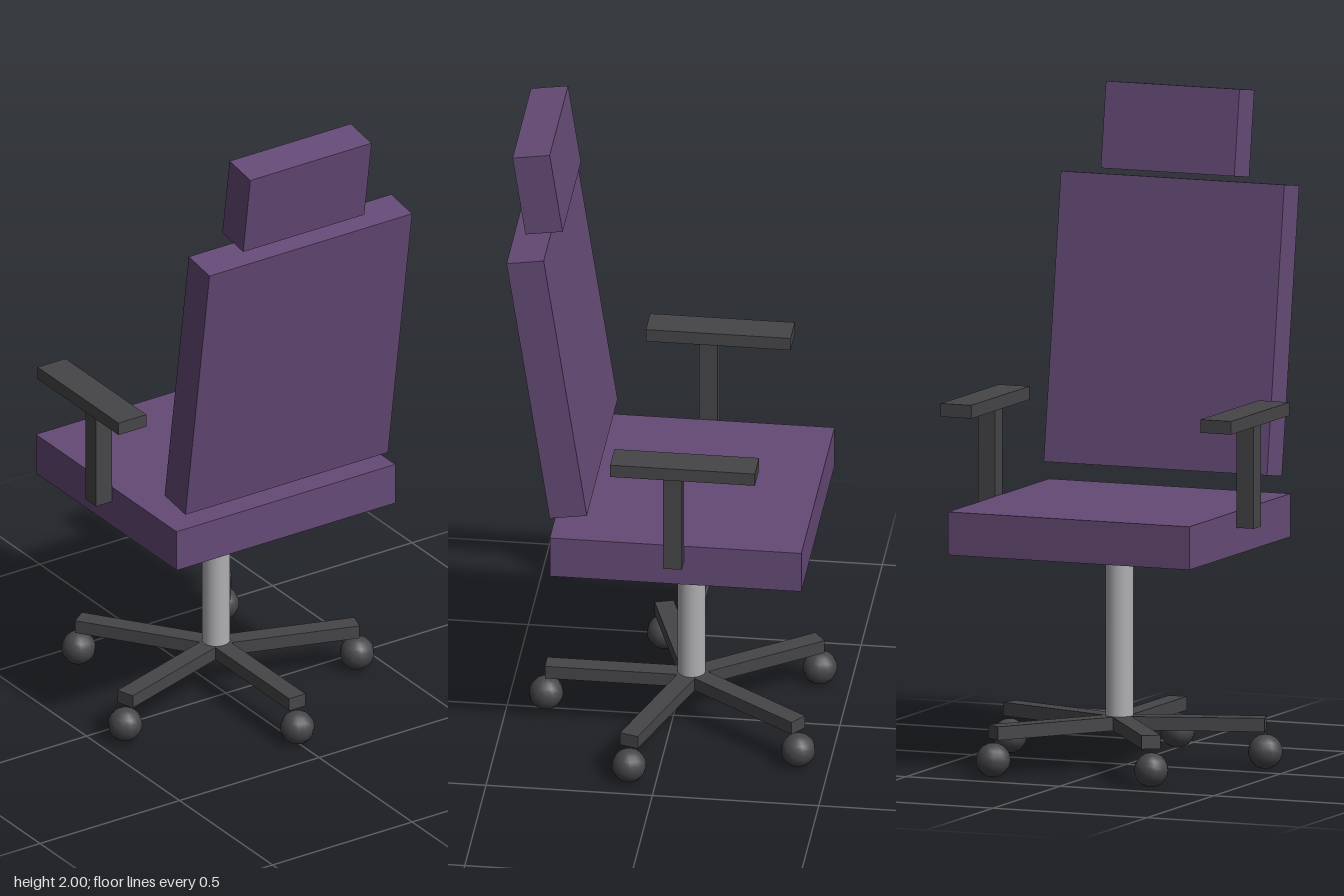
import * as THREE from 'three';

export function createModel() {
  const chair = new THREE.Group();
  chair.name = 'officeChair';

  const mat = (name, color) => {
    const m = new THREE.MeshStandardMaterial({ color });
    m.name = name;
    return m;
  };
  const purple = mat('purple upholstery', 0x654a76);
  const dark = mat('dark plastic', 0x464649);
  const metal = mat('grey metal', 0xb0b0b3);

  const add = (parent, name, geometry, material, x, y, z) => {
    const mesh = new THREE.Mesh(geometry, material);
    mesh.name = name;
    mesh.position.set(x, y, z);
    parent.add(mesh);
    return mesh;
  };
  const box = (w, h, d) => new THREE.BoxGeometry(w, h, d);

  const columnZ = -0.054; // the seat, column and star base share this axis
  const recline = 0.15;

  // Cushions: the chair's back is on the +z side
  add(chair, 'seat', box(0.784, 0.13, 0.756), purple, 0, 0.73, -0.056);
  add(chair, 'backrest', box(0.726, 0.868, 0.113), purple, 0, 1.283, 0.335).rotation.x = recline;
  add(chair, 'headrest', box(0.434, 0.26, 0.113), purple, 0, 1.863, 0.381).rotation.x = recline;

  // Armrests
  for (const [side, label] of [[1, 'left'], [-1, 'right']]) {
    add(chair, label + 'ArmPad', box(0.1, 0.04, 0.435), dark, side * 0.422, 1.08, -0.087);
    add(chair, label + 'ArmPost', box(0.056, 0.315, 0.056), dark, side * 0.42, 0.903, columnZ);
  }

  // Column
  add(chair, 'column', new THREE.CylinderGeometry(0.042, 0.042, 0.53, 24), metal, 0, 0.4, columnZ);

  // Five-legged star base with ball casters
  const legLength = 0.437;
  for (let i = 0; i < 5; i++) {
    const arm = new THREE.Group();
    arm.name = 'baseArm' + (i + 1);
    arm.position.z = columnZ;
    arm.rotation.y = (i * Math.PI * 2) / 5;
    add(arm, 'leg', box(0.058, 0.041, legLength), dark, 0, 0.135, legLength / 2);
    add(arm, 'caster', new THREE.SphereGeometry(0.052, 12, 10), dark, 0, 0.052, legLength);
    chair.add(arm);
  }

  return chair;
}
